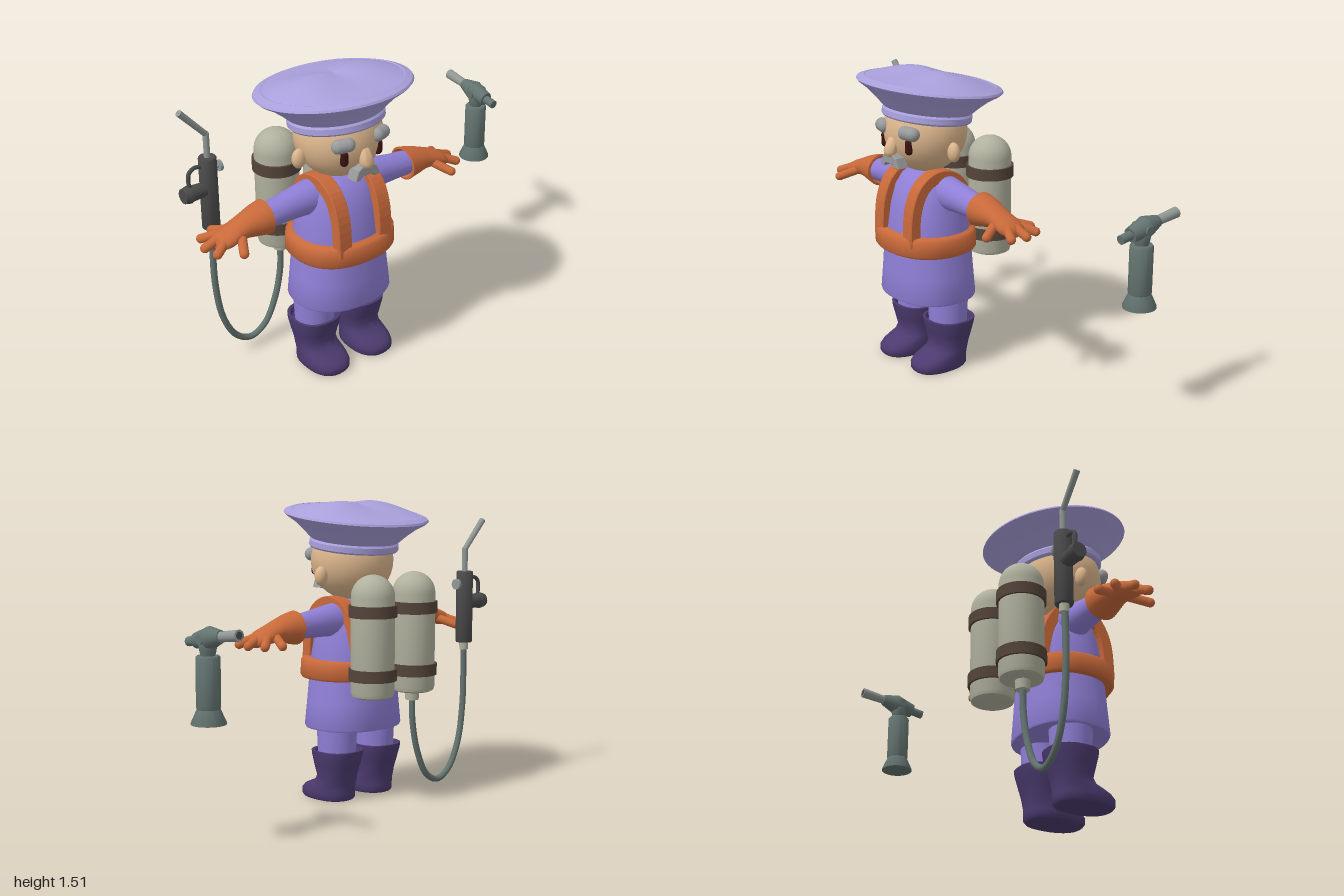
import * as THREE from 'three';
import { toCreasedNormals } from 'three/addons/utils/BufferGeometryUtils.js';

const C = {
  cloth: 0x8f7fd6, hat: 0xaaa0dc, boot: 0x4b3a6e, orange: 0xc8693a, skin: 0xdcb68c, hair: 0x999a9c,
  eye: 0x3c1310, tank: 0xb0b19e, band: 0x54443a, hose: 0x63736f, gun: 0x4a4a4a, metal: 0x8f9794,
};
const V = (x, y, z) => new THREE.Vector3(x, y, z);

function add(parent, name, geo, color, pos = [0, 0, 0]) {
  const mat = new THREE.MeshStandardMaterial({ color, side: THREE.DoubleSide });
  const mesh = new THREE.Mesh(geo, mat);
  mesh.name = name;
  mesh.position.set(...pos);
  parent.add(mesh);
  return mesh;
}

function group(parent, name, x = 0, y = 0, z = 0) {
  const g = new THREE.Group();
  g.name = name;
  g.position.set(x, y, z);
  parent.add(g);
  return g;
}

// Closed skin over sections [y, centreX, centreZ, halfX, halfZ]; n > 2 squares the outline
function loft(sections, n = 2, seg = 36) {
  const first = sections[0], last = sections[sections.length - 1];
  const rows = [[first[0], first[1], first[2], 0, 0], ...sections, [last[0], last[1], last[2], 0, 0]];
  const pos = [], idx = [];
  const p = (v) => Math.sign(v) * Math.abs(v) ** (2 / n);
  rows.forEach(([y, cx, cz, hx, hz], i) => {
    for (let j = 0; j <= seg; j++) {
      const t = ((j % seg) / seg) * Math.PI * 2;
      pos.push(cx + hx * p(Math.cos(t)), y, cz + hz * p(Math.sin(t)));
      if (i && j) {
        const b = i * (seg + 1) + j, a = b - 1, c = a - seg - 1, d = b - seg - 1;
        idx.push(c, a, d, d, a, b);
      }
    }
  });
  const g = new THREE.BufferGeometry();
  g.setAttribute('position', new THREE.Float32BufferAttribute(pos, 3));
  g.setIndex(idx);
  return toCreasedNormals(g, 0.8);
}

const lathe = (pts, seg = 40) =>
  toCreasedNormals(new THREE.LatheGeometry(pts.map((p) => new THREE.Vector2(...p)), seg), 0.6);
const ball = (x, y, z) => new THREE.SphereGeometry(1, 28, 20).scale(x, y, z);
const tube = (pts, r, seg = 48) =>
  new THREE.TubeGeometry(new THREE.CatmullRomCurve3(pts.map((p) => V(...p))), seg, r, 12);

// Cylinder or capsule laid between two points
function between(parent, name, a, b, geoOf, color) {
  const A = V(...a), B = V(...b), d = B.clone().sub(A);
  const m = add(parent, name, geoOf(d.length()), color);
  m.position.copy(A.add(B).multiplyScalar(0.5));
  m.quaternion.setFromUnitVectors(V(0, 1, 0), d.normalize());
  return m;
}
const rod = (r0, r1 = r0, seg = 20) => (l) => new THREE.CylinderGeometry(r1, r0, l, seg);
const capsule = (r) => (l) => new THREE.CapsuleGeometry(r, l, 6, 14);

function buildBody(man) {
  add(man, 'torso', loft([[0.6, 0, 0.093, 0.222, 0.198], [0.72, 0, 0.093, 0.22, 0.195], [0.85, 0, 0.093, 0.2, 0.175],
    [0.94, 0, 0.093, 0.18, 0.145], [0.99, 0, 0.093, 0.15, 0.105], [1.02, 0, 0.093, 0.09, 0.06]], 2.2), C.cloth);
  add(man, 'skirt', loft([[0.365, 0, 0.093, 0.25, 0.209], [0.375, 0, 0.093, 0.255, 0.213],
    [0.5, 0, 0.093, 0.24, 0.206], [0.66, 0, 0.093, 0.222, 0.198]], 2.3), C.cloth);
  add(man, 'belt', loft([[0.62, 0, 0.105, 0.255, 0.222], [0.632, 0, 0.105, 0.265, 0.23],
    [0.708, 0, 0.105, 0.262, 0.228], [0.72, 0, 0.105, 0.25, 0.216]], 2.3), C.orange);

  // Strap: side outline of a bent band
  const arc = (k) => new THREE.SplineCurve([[0.305, 0.68], [0.293, 0.85], [0.245, 0.965], [0.165, 1.022], [0.08, 1.028],
    [0, 0.99], [-0.06, 0.9], [-0.095, 0.78], [-0.105, 0.68]].map(([z, y]) =>
    new THREE.Vector2(0.1 + (z - 0.1) * (1 - k / 0.205), 0.68 + (y - 0.68) * (1 - k / 0.35)))).getPoints(32);
  const band = new THREE.Shape([...arc(0), ...arc(0.05).reverse()]);
  const strap = new THREE.ExtrudeGeometry(band, { depth: 0.066, bevelSize: 0.004, bevelThickness: 0.004, bevelSegments: 1 })
    .rotateY(-Math.PI / 2).translate(0.033, 0, 0);

  for (const s of [1, -1]) {
    const side = s > 0 ? 'left' : 'right';
    add(man, side + 'Strap', strap, C.orange, [s * 0.12, 0, 0]);
    const leg = group(man, side + 'Leg', s * 0.135);
    add(leg, 'trouserLeg', loft([[0.2, 0, 0.07, 0.095, 0.095], [0.42, 0, 0.07, 0.105, 0.105]]), C.cloth);
    add(leg, 'boot', loft([[0, 0, 0.132, 0.098, 0.14], [0.012, 0, 0.132, 0.106, 0.149], [0.04, 0, 0.132, 0.106, 0.149],
      [0.06, 0, 0.122, 0.104, 0.139], [0.078, 0, 0.102, 0.102, 0.12], [0.095, 0, 0.08, 0.1, 0.1],
      [0.125, 0, 0.068, 0.1, 0.093], [0.18, 0, 0.067, 0.113, 0.107], [0.235, 0, 0.066, 0.123, 0.122],
      [0.257, 0, 0.066, 0.124, 0.125], [0.257, 0, 0.066, 0.11, 0.11], [0.235, 0, 0.066, 0.1, 0.1]], 2.4), C.boot);
    buildArm(man, side, s);
  }
}

function buildArm(man, side, s) {
  const arm = group(man, side + 'Arm', 0, 0.92, 0.08);
  arm.scale.x = s;
  // Sections run outwards along the arm: [distance, drop, z, halfHeight, halfDepth]
  const limb = (rows) => loft(rows, 2, 28).rotateZ(-Math.PI / 2);
  add(arm, 'sleeve', limb([[0.06, 0, 0, 0.085, 0.085], [0.15, 0, 0, 0.084, 0.082], [0.25, 0.005, 0, 0.074, 0.07],
    [0.34, 0.012, 0, 0.065, 0.064], [0.44, 0.018, 0, 0.06, 0.06]]), C.cloth);
  add(arm, 'glove', limb([[0.43, 0.018, 0, 0.06, 0.06], [0.413, 0.018, 0, 0.074, 0.078], [0.415, 0.018, 0, 0.084, 0.088],
    [0.47, 0.019, 0, 0.072, 0.08], [0.53, 0.024, 0, 0.056, 0.066], [0.58, 0.035, 0, 0.046, 0.064],
    [0.63, 0.05, 0, 0.04, 0.07], [0.67, 0.062, 0, 0.032, 0.058], [0.685, 0.066, 0, 0.018, 0.035]]), C.orange);
  [[0.57, -0.04, 0.615, -0.14], [0.62, -0.04, 0.695, -0.105], [0.65, -0.012, 0.728, -0.022],
    [0.64, 0.025, 0.715, 0.06], [0.57, 0.04, 0.62, 0.13]].forEach(([x0, z0, x1, z1], i) =>
    between(arm, 'finger' + (i + 1), [x0, -0.045, z0], [x1, -0.078, z1], capsule(0.022), C.orange));
}

function buildHead(man) {
  const head = group(man, 'head');
  add(head, 'skull', ball(0.215, 0.205, 0.205), C.skin, [0, 1.212, 0.1]);
  add(head, 'nose', loft([[1.11, 0, 0.31, 0.012, 0.012], [1.118, 0, 0.312, 0.027, 0.024], [1.14, 0, 0.31, 0.036, 0.033],
    [1.17, 0, 0.303, 0.031, 0.028], [1.2, 0, 0.295, 0.022, 0.02], [1.212, 0, 0.29, 0.008, 0.008]], 2, 20), C.skin);
  for (const s of [1, -1]) {
    add(head, 'ear', ball(0.036, 0.049, 0.029), C.skin, [s * 0.222, 1.142, 0.093]);
    add(head, 'eye', new THREE.CapsuleGeometry(0.02, 0.04, 6, 16), C.eye, [s * 0.099, 1.172, 0.27]);
    const brow = add(head, 'eyebrow', new THREE.CapsuleGeometry(0.034, 0.046, 8, 18).rotateZ(Math.PI / 2), C.hair,
      [s * 0.107, 1.24, 0.275]);
    brow.rotation.set(0, s * 0.35, s * -0.08);
  }
  // Moustache: drooping block
  const m = new THREE.Shape([[-0.066, 0], [-0.05, 0.04], [-0.025, 0.056], [0.025, 0.056], [0.05, 0.04], [0.066, 0],
    [0.045, -0.002], [0.03, 0.014], [-0.03, 0.014], [-0.045, -0.002]].map((p) => new THREE.Vector2(...p)));
  add(head, 'moustache', new THREE.ExtrudeGeometry(m, { depth: 0.05, bevelSize: 0.006, bevelThickness: 0.008, bevelSegments: 3 }),
    C.hair, [0, 1.066, 0.262]);

  // Cap: flared side and rolled rim, with a crown that dips along its middle
  const cap = group(head, 'cap', 0, 1.27, 0.09);
  cap.rotation.x = -0.122;
  const side = lathe([[0.19, 0.01], [0.23, 0], [0.237, 0.008], [0.237, 0.035], [0.229, 0.045], [0.24, 0.052], [0.275, 0.085],
    [0.325, 0.125], [0.37, 0.152], [0.384, 0.165], [0.378, 0.175], [0.345, 0.187], [0.338, 0.185]], 56);
  add(cap, 'capSide', side.scale(1, 1, 0.905), C.hat);
  const rings = 16;
  const crown = new THREE.LatheGeometry(Array.from({ length: rings + 1 }, (_, i) => {
    const t = i / rings;
    return new THREE.Vector2(0.341 * (1 - t), 0.184 + 0.048 * Math.sin(Math.min(t * 1.7, 1.5)));
  }), 56);
  const p = crown.attributes.position;
  for (let i = 0; i < p.count; i++) {
    const x = p.getX(i), z = p.getZ(i), r = Math.hypot(x, z) / 0.341;
    const wave = Math.cos(2 * Math.atan2(z, x));
    p.setY(i, p.getY(i) + 0.055 * wave * r * (1 - r));
  }
  crown.scale(1, 1, 0.905);
  crown.computeVertexNormals();
  add(cap, 'capCrown', crown, C.hat);
}

function buildTanks(root) {
  for (const x of [-0.42, -0.13]) {
    const tank = group(root, 'tank', x, 0, -0.193);
    const dome = Array.from({ length: 11 }, (_, i) => {
      const a = (i / 10) * Math.PI / 2;
      return [0.108 * Math.cos(a), 1.055 + 0.108 * Math.sin(a)];
    });
    add(tank, 'cylinder', lathe([[0, 0.558], [0.085, 0.558], [0.102, 0.566], [0.108, 0.585], ...dome]), C.tank);
    for (const y of [0.644, 0.957])
      add(tank, 'band', lathe([[0.1, y], [0.119, y], [0.119, y + 0.058], [0.1, y + 0.058]]), C.band);
  }
  add(root, 'tankOutlet', new THREE.CylinderGeometry(0.038, 0.034, 0.06, 20), C.tank, [-0.42, 0.542, -0.187]);
  add(root, 'hose', tube([[-0.81, 0.75], [-0.808, 0.45], [-0.772, 0.24], [-0.7, 0.11], [-0.615, 0.067], [-0.53, 0.11],
    [-0.462, 0.24], [-0.425, 0.4], [-0.42, 0.53]].map(([x, y]) => [x, y, -0.187]), 0.016, 80), C.hose);
}

function buildSprayGun(root) {
  const gun = group(root, 'sprayGun', -0.808, 0, -0.19);
  add(gun, 'grip', lathe([[0, 0.77], [0.04, 0.77], [0.043, 0.775], [0.043, 1.135], [0.04, 1.14], [0, 1.14]], 24), C.gun);
  add(gun, 'connector', new THREE.CylinderGeometry(0.024, 0.022, 0.04, 16), C.tank, [0, 0.752, 0]);
  between(gun, 'pipe', [0, 1.13, 0], [0, 1.255, 0], rod(0.015), C.metal);
  add(gun, 'pipeElbow', ball(0.015, 0.015, 0.015), C.metal, [0, 1.255, 0]);
  between(gun, 'nozzle', [0, 1.255, 0], [-0.135, 1.4, 0], rod(0.014, 0.016), C.metal);
  add(gun, 'triggerGuard', tube([[-0.03, 1.1, 0], [-0.075, 1.105, 0], [-0.103, 1.085, 0], [-0.108, 1.04, 0], [-0.1, 0.99, 0]], 0.01, 24), C.gun);
  between(gun, 'sideHandle', [-0.02, 0.98, 0], [-0.115, 0.98, 0], rod(0.034, 0.04, 16), C.gun);
  between(gun, 'sideHandleEnd', [-0.11, 0.98, 0], [-0.142, 0.98, 0], rod(0.043, 0.036, 16), C.gun);
  between(gun, 'valveStem', [0.03, 1.075, 0], [0.062, 1.075, 0], rod(0.01), C.metal);
  between(gun, 'valveKnob', [0.055, 1.075, 0], [0.07, 1.075, 0], rod(0.027), C.metal);
}

function buildTorch(root) {
  const t = group(root, 'handTorch', 0.918, 0, -0.224);
  add(t, 'base', lathe([[0, 0.572], [0.079, 0.572], [0.079, 0.58], [0.05, 0.645], [0, 0.645]]), C.hose);
  add(t, 'canister', lathe([[0, 0.64], [0.052, 0.64], [0.055, 0.648], [0.055, 0.868], [0.05, 0.876], [0, 0.876]]), C.hose);
  add(t, 'neck', lathe([[0.03, 0.87], [0.036, 0.89], [0.044, 0.93], [0.034, 0.965], [0, 0.98]], 24), C.hose);
  between(t, 'head', [0, 0.935, 0.075], [0, 0.956, -0.02], rod(0.036, 0.05), C.hose);
  between(t, 'headTaper', [0, 0.955, -0.018], [0, 0.968, -0.095], rod(0.052, 0.028), C.hose);
  between(t, 'rearKnob', [0, 0.925, 0.135], [0, 0.936, 0.07], rod(0.022), C.hose);
  between(t, 'nozzle', [0, 0.966, -0.08], [0, 0.984, -0.215], rod(0.022, 0.026), C.metal);
  between(t, 'nozzleBore', [0, 0.984, -0.213], [0, 0.9843, -0.217], rod(0.017), C.gun);
  between(t, 'sideDial', [-0.052, 0.95, 0], [0.052, 0.95, 0], rod(0.022), C.hose);
}

export function createModel() {
  const root = new THREE.Group();
  root.name = 'workman';
  const man = group(root, 'figure', -0.275);
  buildBody(man);
  buildHead(man);
  buildTanks(root);
  buildSprayGun(root);
  buildTorch(root);
  return root;
}
